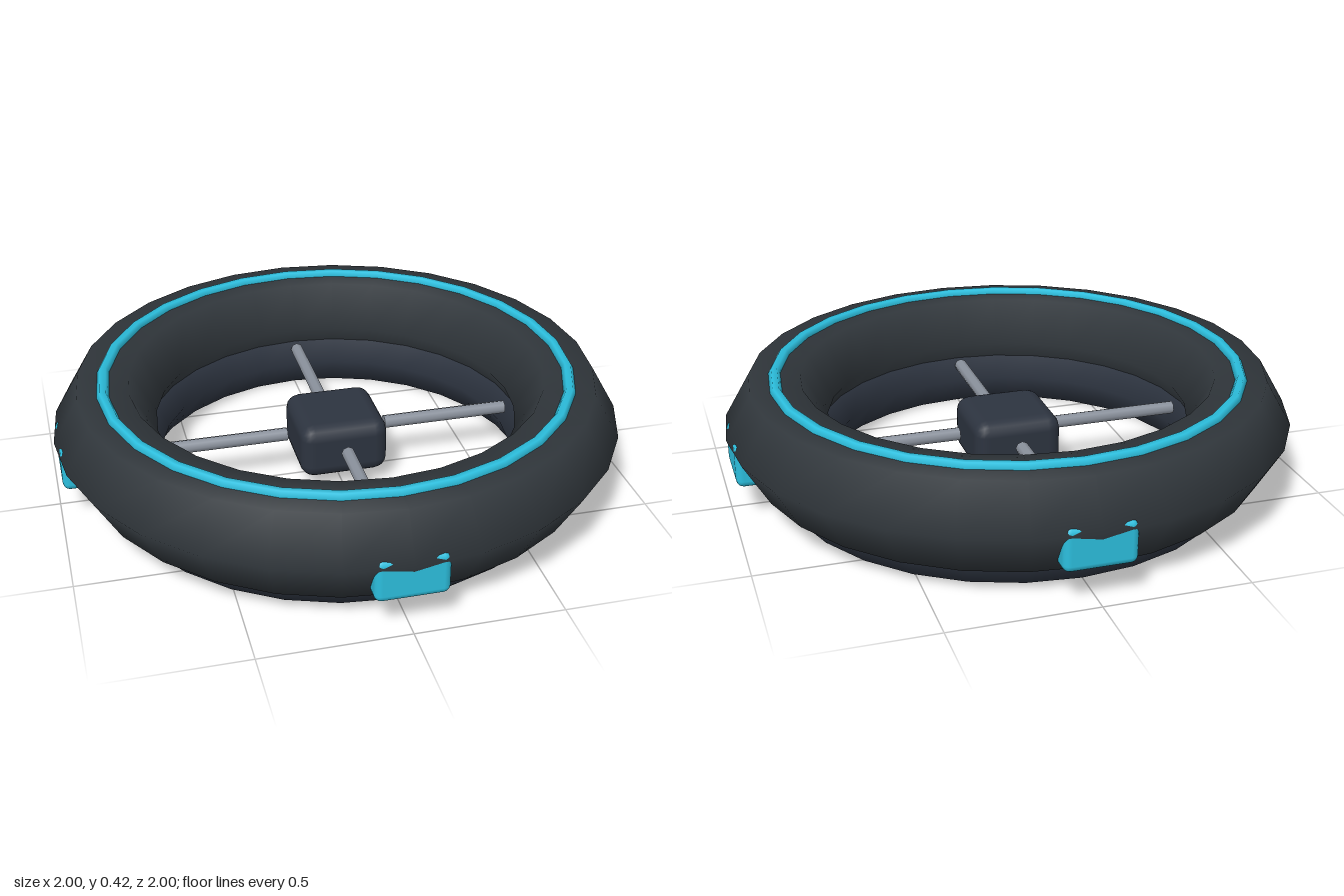
import * as THREE from 'three';
import { RoundedBoxGeometry } from 'three/addons/geometries/RoundedBoxGeometry.js';

const material = (color) => new THREE.MeshStandardMaterial({ color });

export function createModel() {
  const model = new THREE.Group();
  const shell = material(0x30363b);
  const darkBlue = material(0x2d3440);
  const steel = material(0x8a919c);
  const cyan = material(0x2cbfde);

  const add = (name, geometry, mat, parent = model) => {
    const mesh = new THREE.Mesh(geometry, mat);
    mesh.name = name;
    parent.add(mesh);
    return mesh;
  };

  // Flat-lying rings, each with a six-sided tube
  const addRing = (name, radius, tube, y, mat) => {
    const geometry = new THREE.TorusGeometry(radius, tube, 6, 28);
    geometry.rotateX(-Math.PI / 2);
    add(name, geometry, mat).position.y = y;
  };
  addRing('outerRing', 0.82, 0.18, 0.25, shell);
  addRing('lowerRing', 0.753, 0.123, 0.107, darkBlue);
  addRing('lightStrip', 0.82, 0.021, 0.406, cyan);

  // Central hub
  add('hub', new RoundedBoxGeometry(0.315, 0.2, 0.315, 2, 0.05), darkBlue).position.y = 0.158;

  // Four spokes and four outer pads, one of each per quarter turn
  const spokeGeometry = new THREE.CylinderGeometry(0.024, 0.024, 0.46, 8);
  spokeGeometry.rotateX(Math.PI / 2);
  const padGeometry = new RoundedBoxGeometry(0.245, 0.155, 0.13, 2, 0.025);
  for (let i = 0; i < 4; i++) {
    const arm = new THREE.Group();
    arm.name = 'quarter' + (i + 1);
    arm.rotation.y = (i * Math.PI) / 2;
    add('spoke', spokeGeometry, steel, arm).position.set(0, 0.17, 0.41);
    add('pad', padGeometry, cyan, arm).position.set(0, 0.2, 0.922);
    model.add(arm);
  }

  return model;
}
